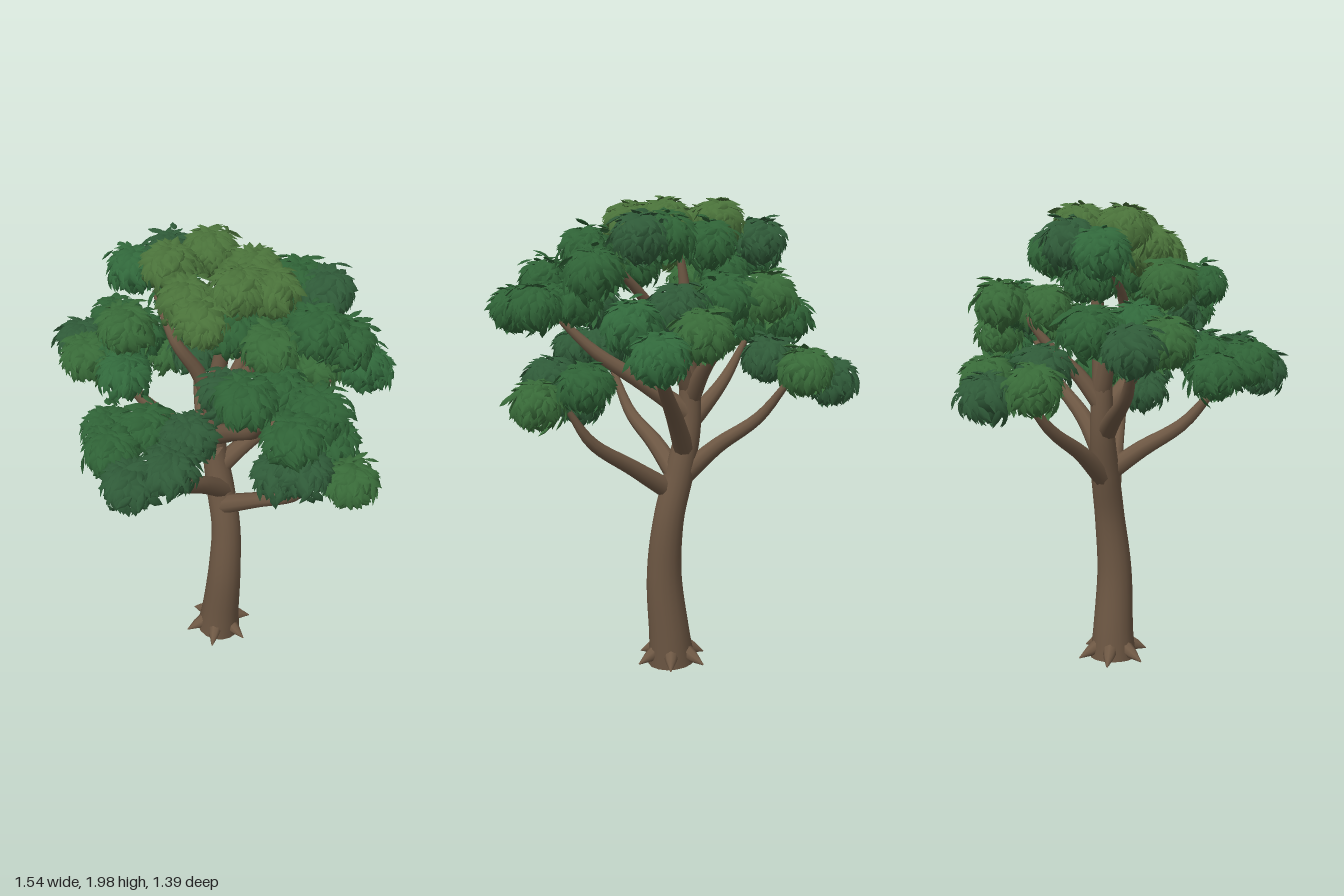
import * as THREE from 'three';
import { mergeGeometries } from 'three/addons/utils/BufferGeometryUtils.js';

const V = (x, y, z) => new THREE.Vector3(x, y, z);

// Small seeded random number generator
function seeded(seed) {
  return () => {
    seed = (seed * 1664525 + 1013904223) >>> 0;
    return seed / 4294967296;
  };
}

// Tube along points [x, y, z, radius], its rings scaled to the local radius
function taperedTube(points, segments, sides) {
  const curve = new THREE.CatmullRomCurve3(points.map(p => V(p[0], p[1], p[2])));
  const geo = new THREE.TubeGeometry(curve, segments, 1, sides, false);
  const pos = geo.attributes.position, v = new THREE.Vector3();
  for (let i = 0; i <= segments; i++) {
    const c = curve.getPointAt(i / segments);
    const t = curve.getUtoTmapping(i / segments) * (points.length - 1);
    const k = Math.min(Math.floor(t), points.length - 2);
    const r = THREE.MathUtils.lerp(points[k][3], points[k + 1][3], t - k);
    for (let j = 0; j <= sides; j++) {
      const n = i * (sides + 1) + j;
      v.fromBufferAttribute(pos, n).sub(c).multiplyScalar(r).add(c);
      pos.setXYZ(n, v.x, v.y, v.z);
    }
  }
  return geo;
}

// Plump pointed leaf, arched across and along: tip towards +y, upper face towards +z
function leafGeometry() {
  const rows = [[-0.5, 0.03, -0.1], [-0.2, 0.2, 0.04], [0.1, 0.21, 0.08], [0.5, 0.005, 0]];
  const p = [], index = [];
  rows.forEach(([y, w, z]) => p.push(-w, y, z - w * 0.6, 0, y, z, w, y, z - w * 0.6));
  for (let i = 0; i < 3; i++) {
    for (let j = 0; j < 2; j++) {
      const a = i * 3 + j;
      index.push(a, a + 1, a + 4, a, a + 4, a + 3);
    }
  }
  const geo = new THREE.BufferGeometry();
  geo.setAttribute('position', new THREE.Float32BufferAttribute(p, 3));
  geo.setIndex(index);
  geo.computeVertexNormals();
  return geo.toNonIndexed();
}

// Ball of overlapping leaves that droop from its crown, tips lifted outwards
function leafBall(leaf, center, radius, rand) {
  const parts = [], count = 135;
  const m = new THREE.Matrix4();
  for (let i = 0; i < count; i++) {
    const y = 1 - 2 * (i + 0.5) / count, s = Math.sqrt(1 - y * y);
    const a = i * 2.39996 + rand() * 0.5;
    const n = V(s * Math.cos(a), y, s * Math.sin(a));
    const side = V(0, 1, 0).cross(n).normalize();
    const tip = side.clone().cross(n);
    tip.applyAxisAngle(n, (rand() - 0.5) * 2).addScaledVector(n, 0.2 + rand() * 0.3).normalize();
    const x = tip.clone().cross(n).normalize();
    const z = x.clone().cross(tip);
    const reach = radius * (rand() < 0.08 ? 1.15 : 0.88 + rand() * 0.1);
    const size = radius * (0.6 + rand() * 0.15);
    m.makeBasis(x, tip, z).scale(V(size, size, size));
    m.setPosition(n.x * reach + center.x, n.y * reach * 0.9 + center.y, n.z * reach + center.z);
    parts.push(leaf.clone().applyMatrix4(m));
  }
  // Solid heart of the ball
  const core = new THREE.IcosahedronGeometry(radius * 0.8, 1).scale(1, 0.9, 1).translate(center.x, center.y, center.z);
  core.deleteAttribute('uv');
  parts.push(core);
  return mergeGeometries(parts);
}

// Leaf ball centres [x, y, z] for each bough
const clumps = {
  frontFoliage: [[0.12, 1.37, 0.3], [-0.06, 1.36, 0.33], [-0.23, 1.3, 0.36], [-0.09, 1.34, 0.5], [0.06, 1.29, 0.57], [0.17, 1.35, 0.47]],
  leftFoliage: [[-0.58, 1.49, -0.11], [-0.64, 1.43, 0.05], [-0.5, 1.45, 0.17], [-0.38, 1.5, 0.06], [-0.42, 1.48, -0.08], [-0.3, 1.44, 0.17]],
  backLeftFoliage: [[-0.48, 1.24, -0.5], [-0.31, 1.29, -0.53], [-0.49, 1.27, -0.32], [-0.3, 1.33, -0.31]],
  backFoliage: [[-0.12, 1.58, -0.51], [0.04, 1.57, -0.46], [-0.05, 1.56, -0.33]],
  backRightFoliage: [[0.23, 1.44, -0.58], [0.41, 1.36, -0.57], [0.43, 1.47, -0.42], [0.24, 1.53, -0.43], [0.31, 1.47, -0.28]],
  lowRightFoliage: [[0.63, 1.17, -0.06], [0.5, 1.25, 0.08], [0.38, 1.17, 0.06], [0.48, 1.24, -0.17]],
  rightFoliage: [[0.55, 1.54, 0.1], [0.55, 1.53, 0.28], [0.39, 1.65, 0.33], [0.37, 1.56, 0.09], [0.23, 1.55, 0.2]],
  upperRightFoliage: [[0.42, 1.75, -0.08], [0.47, 1.66, -0.22], [0.3, 1.69, 0.04], [0.32, 1.79, -0.31]],
  upperLeftFoliage: [[-0.43, 1.77, -0.07], [-0.27, 1.66, 0.18], [-0.22, 1.69, -0.1], [-0.34, 1.81, -0.2]],
  crownFoliage: [[-0.13, 1.88, -0.18], [-0.19, 1.87, 0], [-0.04, 1.8, 0.09], [0.14, 1.87, 0.02], [0.1, 1.87, -0.14], [0.07, 1.77, 0.14], [0.22, 1.85, -0.08], [0.2, 1.8, -0.3], [0, 1.78, -0.3], [0.13, 1.72, 0.03]]
};

// Boughs as [x, y, z, radius] paths
const boughs = {
  lowRightBranch: [[0.01, 0.76, -0.07, 0.045], [0.2, 0.88, -0.06, 0.034], [0.39, 1.0, -0.05, 0.025], [0.48, 1.13, -0.03, 0.012]],
  frontBranch: [[0.01, 0.84, -0.09, 0.045], [0.01, 0.95, 0.06, 0.038], [0.02, 1.07, 0.25, 0.027], [0.02, 1.28, 0.42, 0.012]],
  backLeftBranch: [[-0.03, 0.84, -0.1, 0.045], [-0.14, 0.96, -0.18, 0.034], [-0.27, 1.08, -0.29, 0.025], [-0.36, 1.25, -0.39, 0.012]],
  leftBranch: [[-0.02, 1.02, -0.09, 0.045], [-0.18, 1.12, -0.04, 0.036], [-0.34, 1.23, 0.02, 0.026], [-0.48, 1.4, 0.05, 0.012]],
  backRightBranch: [[-0.03, 0.93, -0.1, 0.045], [0.08, 1.08, -0.19, 0.036], [0.23, 1.23, -0.33, 0.026], [0.36, 1.42, -0.45, 0.012]],
  rightBranch: [[-0.04, 1.1, -0.1, 0.045], [0.11, 1.22, -0.01, 0.036], [0.28, 1.35, 0.1, 0.026], [0.42, 1.52, 0.22, 0.012]],
  upperLeftBranch: [[-0.06, 1.22, -0.1, 0.04], [-0.1, 1.4, -0.06, 0.032], [-0.17, 1.55, 0, 0.024], [-0.3, 1.72, -0.04, 0.012]],
  upperRightBranch: [[-0.05, 1.2, -0.1, 0.04], [0.05, 1.38, -0.12, 0.032], [0.18, 1.55, -0.14, 0.024], [0.36, 1.72, -0.14, 0.012]],
  backBranch: [[-0.06, 1.15, -0.1, 0.04], [-0.05, 1.28, -0.2, 0.032], [-0.05, 1.4, -0.32, 0.022], [-0.04, 1.55, -0.44, 0.012]]
};

export function createModel() {
  const tree = new THREE.Group();
  const bark = new THREE.MeshStandardMaterial({ color: 0x6e5844 });
  const leafMaterial = color => new THREE.MeshStandardMaterial({ color, side: THREE.DoubleSide });
  const greens = [0x2f5a38, 0x2f6236, 0x31683b, 0x386a38].map(leafMaterial);
  const crownGreen = leafMaterial(0x4a723a);
  const add = (parent, name, geo, mat) => {
    const mesh = new THREE.Mesh(geo, mat);
    mesh.name = name;
    parent.add(mesh);
  };

  // Trunk with a gentle sway, closed underneath
  add(tree, 'trunk', taperedTube([
    [0.01, 0.01, -0.06, 0.103], [0.02, 0.12, -0.06, 0.09], [0.045, 0.4, -0.055, 0.076], [0.035, 0.65, -0.075, 0.065],
    [-0.01, 0.85, -0.09, 0.062], [-0.05, 1.05, -0.1, 0.052], [-0.05, 1.3, -0.1, 0.04], [-0.02, 1.55, -0.12, 0.028], [0, 1.78, -0.1, 0.012]
  ], 40, 16), bark);
  add(tree, 'trunkBase', new THREE.CircleGeometry(0.103, 16).rotateX(Math.PI / 2).translate(0.01, 0.01, -0.06), bark);

  // Root spurs around the foot
  const roots = new THREE.Group();
  roots.name = 'roots';
  for (let i = 0; i < 6; i++) {
    const a = i / 6 * Math.PI * 2 + 0.1, c = Math.cos(a), s = Math.sin(a);
    const at = (r, y, w) => [0.01 + c * r, y, -0.06 + s * r, w];
    add(roots, 'root', taperedTube([at(0.06, 0.07, 0.036), at(0.11, 0.045, 0.024), at(0.16, 0.02, 0.002)], 6, 8), bark);
  }
  tree.add(roots);

  for (const [name, path] of Object.entries(boughs)) add(tree, name, taperedTube(path, 14, 9), bark);

  // Foliage, lightest at the top of the crown
  const rand = seeded(7), leaf = leafGeometry();
  for (const [name, centers] of Object.entries(clumps)) {
    const clump = new THREE.Group();
    clump.name = name;
    centers.forEach((p, i) => {
      const bright = name === 'crownFoliage' && i < 7;
      const mat = bright ? crownGreen : greens[Math.floor(rand() * greens.length)];
      add(clump, 'leafBall', leafBall(leaf, V(...p), 0.107, rand), mat);
    });
    tree.add(clump);
  }
  return tree;
}
